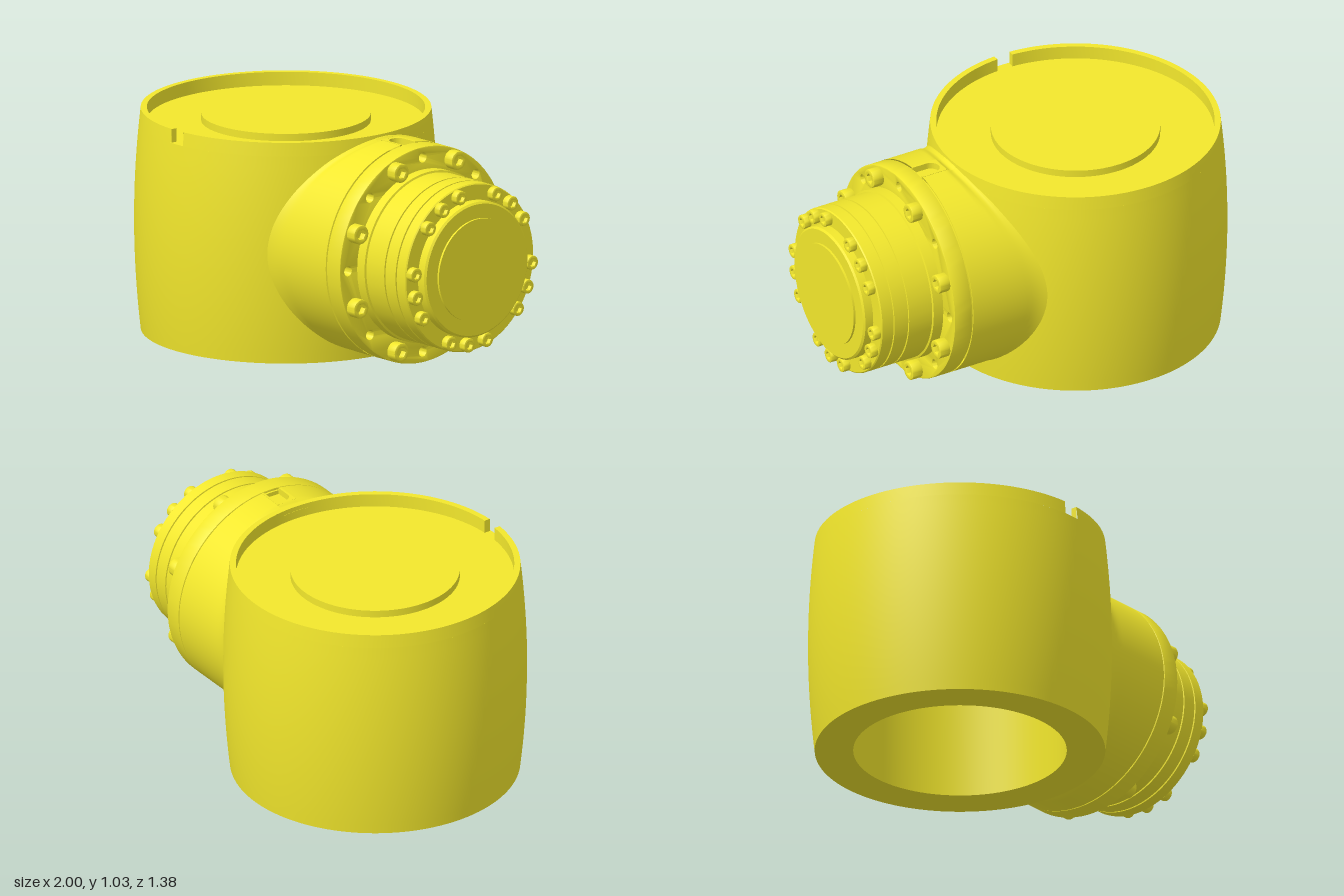
import * as THREE from 'three';
import { toCreasedNormals } from 'three/addons/utils/BufferGeometryUtils.js';

const CX = -0.31, CY = 0.52, H = 1.035, FLOOR = 0.972, NECK_R = 0.505;
const bodyRadius = (y) => 0.69 - 0.03 * ((y - H / 2) / (H / 2)) ** 2;

export function createModel() {
  const model = new THREE.Group();
  const yellow = new THREE.MeshStandardMaterial({ color: 0xf2e72c });
  const yellowThin = new THREE.MeshStandardMaterial({ color: 0xf2e72c, side: THREE.DoubleSide });

  const add = (parent, name, geometry, material = yellow) => {
    const mesh = new THREE.Mesh(geometry, material);
    mesh.name = name;
    parent.add(mesh);
    return mesh;
  };
  const lathe = (pts, segments = 96, start = 0, length = Math.PI * 2) =>
    toCreasedNormals(new THREE.LatheGeometry(pts.map((p) => new THREE.Vector2(...p)), segments, start, length), 0.5);
  const outerWall = (y0, y1, n) =>
    Array.from({ length: n + 1 }, (_, i) => y0 + ((y1 - y0) * i) / n).map((y) => [bodyRadius(y), y]);

  // Barrel-shaped housing, bored from below
  const housing = new THREE.Group();
  housing.name = 'housing';
  housing.position.x = CX;
  model.add(housing);
  add(housing, 'housingShell', lathe([
    [0, 0.9], [0.485, 0.9], [0.485, 0], ...outerWall(0, FLOOR, 20), [0.63, FLOOR], [0, FLOOR],
  ], 128));

  // Raised rim with a notch at the front, and the low disc on the top
  const gap = 0.062;
  add(housing, 'topRim', lathe([...outerWall(FLOOR, H, 3), [0.632, H], [0.632, FLOOR]],
    128, gap, Math.PI * 2 - 2 * gap));
  for (const side of [-1, 1]) {
    const end = add(housing, 'rimNotchWall', new THREE.PlaneGeometry(0.03, H - FLOOR), yellowThin);
    end.rotation.y = Math.PI / 2 + side * gap;
    end.position.set(side * 0.647 * Math.sin(gap), (H + FLOOR) / 2, 0.647 * Math.cos(gap));
  }
  add(housing, 'topDisc', lathe([[0.385, FLOOR - 0.01], [0.385, 1.006], [0, 1.006]]));

  // Neck sheet that starts on the curved housing wall and ends at xEnd
  const neckSheet = (t0, t1, nT, xEnd) => {
    const nX = 16, pos = [], idx = [];
    for (let i = 0; i <= nT; i++) {
      const t = t0 + ((t1 - t0) * i) / nT;
      const z0 = NECK_R * Math.sin(t);
      const xs = CX + Math.sqrt(bodyRadius(CY + NECK_R * Math.cos(t)) ** 2 - z0 * z0);
      for (let j = 0; j <= nX; j++) {
        const s = -0.03 + (xEnd - xs + 0.03) * (j / nX) ** 1.3;
        const flare = Math.max(0, (0.06 - s) / 0.09) ** 2;
        const dip = s > 0 && s < 0.045 ? Math.sin((Math.PI * s) / 0.045) : 0;
        const low = s < 0 ? -s * 0.4 : 0;
        const r = NECK_R + 0.02 * Math.sin(t) ** 2 * flare - (0.012 * dip + low) * Math.cos(t) ** 4;
        pos.push(xs + s, CY + r * Math.cos(t), r * Math.sin(t));
        if (i < nT && j < nX) {
          const a = i * (nX + 1) + j, b = a + nX + 1;
          idx.push(a, b, a + 1, b, b + 1, a + 1);
        }
      }
    }
    const g = new THREE.BufferGeometry();
    g.setAttribute('position', new THREE.Float32BufferAttribute(pos, 3));
    g.setIndex(idx);
    g.computeVertexNormals();
    return g;
  };
  const t0 = 0.1;
  add(model, 'neck', neckSheet(t0, Math.PI * 2 - t0, 128, 0.525), yellowThin);
  add(model, 'neckTop', neckSheet(-t0, t0, 6, 0.4), yellowThin);

  // Strip along the top of the neck with a round-ended slot
  const strip = new THREE.Shape();
  strip.moveTo(0.398, -0.051);
  strip.lineTo(0.525, -0.051);
  strip.lineTo(0.525, -0.04);
  strip.lineTo(0.452, -0.04);
  strip.absarc(0.452, 0, 0.04, -Math.PI / 2, Math.PI / 2, true);
  strip.lineTo(0.525, 0.04);
  strip.lineTo(0.525, 0.051);
  strip.lineTo(0.398, 0.051);
  strip.closePath();
  const stripGeo = new THREE.ExtrudeGeometry(strip, { depth: 0.03, bevelEnabled: false, curveSegments: 16 });
  stripGeo.rotateX(Math.PI / 2);
  add(model, 'slotStrip', stripGeo).position.y = CY + 0.504;
  add(model, 'slotFloor', new THREE.BoxGeometry(0.125, 0.01, 0.1)).position.set(0.462, CY + 0.469, 0);

  // Output drive: local z runs along the world x axis
  const drive = new THREE.Group();
  drive.name = 'outputDrive';
  drive.position.y = CY;
  drive.rotation.y = Math.PI / 2;
  model.add(drive);
  const turned = (name, pts) => add(drive, name, lathe(pts).rotateX(Math.PI / 2));
  const extrude = (shape, depth, bevel, curveSegments) => toCreasedNormals(new THREE.ExtrudeGeometry(shape, {
    depth: depth - 2 * bevel, bevelThickness: bevel, bevelSize: bevel, bevelOffset: -bevel,
    bevelSegments: 2, curveSegments,
  }).translate(0, 0, bevel), 0.5);

  turned('flangeSeam', [[0, 0.522], [0.494, 0.522], [0.494, 0.545], [0, 0.545]]);

  // Flange ring with eight plain holes
  const ring = new THREE.Shape().absarc(0, 0, NECK_R, 0, Math.PI * 2);
  for (let k = 0; k < 8; k++) {
    const a = (k * Math.PI) / 4;
    ring.holes.push(new THREE.Path().absarc(0.455 * Math.cos(a), 0.455 * Math.sin(a), 0.022, 0, Math.PI * 2, true));
  }
  add(drive, 'flange', extrude(ring, 0.09, 0.004, 48)).position.z = 0.532;

  // Stepped gear casing with thin seams
  const seam = (z) => [[0.391, z - 0.004], [0.384, z - 0.003], [0.384, z + 0.003], [0.391, z + 0.004]];
  turned('gearCasing', [
    [0.4, 0.615], [0.4, 0.672], [0.391, 0.675],
    ...seam(0.8), ...seam(0.877), [0.391, 0.936], [0.386, 0.941], [0, 0.941],
  ]);
  turned('outputHub', [[0.315, 0.935], [0.315, 0.982], [0.306, 0.99], [0, 0.99]]);
  turned('hubDisc', [[0.24, 0.985], [0.24, 1.0], [0, 1.0]]);

  // Socket-head bolts
  const boltSet = (name, angles, ringR, headR, height, z) => {
    const head = new THREE.Shape().absarc(0, 0, headR, 0, Math.PI * 2);
    const hex = Array.from({ length: 6 }, (_, i) => new THREE.Vector2(
      0.55 * headR * Math.cos((i * Math.PI) / 3), 0.55 * headR * Math.sin((i * Math.PI) / 3)));
    head.holes.push(new THREE.Path(hex.reverse()));
    const headGeo = extrude(head, height, 0.004, 14);
    const floorGeo = new THREE.CircleGeometry(0.7 * headR, 16).translate(0, 0, height * 0.45);
    for (const a of angles) {
      const bolt = new THREE.Group();
      bolt.name = name;
      bolt.position.set(-ringR * Math.cos(a), ringR * Math.sin(a), z);
      add(bolt, name + 'Head', headGeo);
      add(bolt, name + 'SocketFloor', floorGeo);
      drive.add(bolt);
    }
  };
  const rad = THREE.MathUtils.degToRad;
  boltSet('flangeBolt', Array.from({ length: 8 }, (_, k) => rad(22.5 + 45 * k)), 0.455, 0.044, 0.053, 0.621);
  boltSet('hubBolt', Array.from({ length: 15 }, (_, k) =>
    rad(-13 + 72 * Math.floor(k / 3) + 18 * ((k % 3) - 1))), 0.355, 0.033, 0.036, 0.94);

  return model;
}
